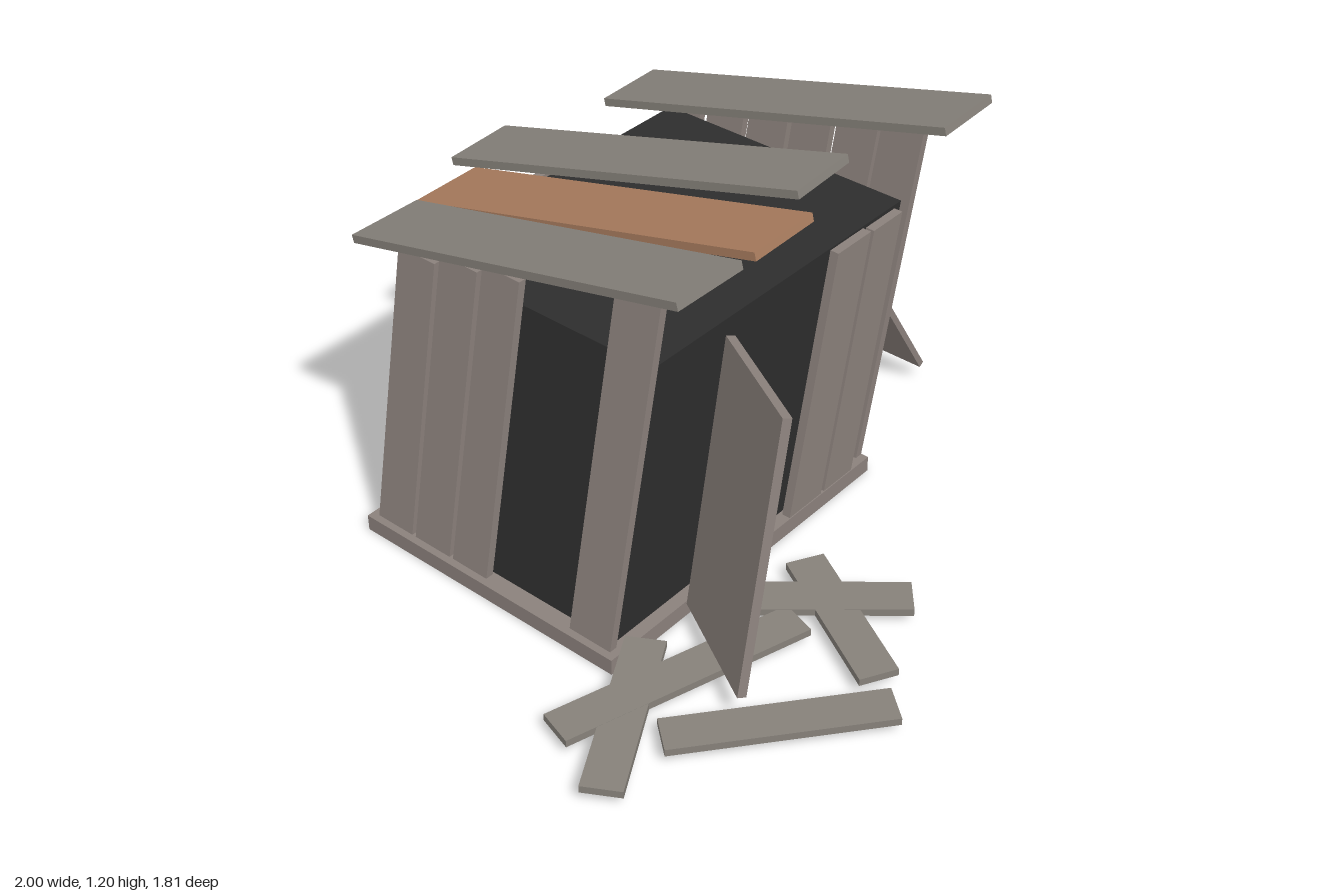
import * as THREE from 'three';

const mat = (name, color) => Object.assign(new THREE.MeshStandardMaterial({ color }), { name });

export function createModel() {
  const root = new THREE.Group();
  root.name = 'ruinedShack';
  const wood = mat('weatheredWood', 0x8b817c);
  const grey = mat('greyPlank', 0x86817a);
  const orange = mat('newPlank', 0xa97c5e);
  const dark = mat('darkInterior', 0x2d2d2d);

  // The whole frame leans to +x and slightly to +z
  const FLOOR = 0.05;
  const lean = new THREE.Matrix4().set(
    1, 0.155, 0, -0.155 * FLOOR,
    0, 1, 0, 0,
    0, 0.045, 1, -0.045 * FLOOR,
    0, 0, 0, 1);

  const add = (name, geo, material) => {
    const m = new THREE.Mesh(geo, material);
    m.name = name;
    root.add(m);
    return m;
  };
  const box = (name, material, size, pos, rot = [0, 0, 0]) => {
    const m = add(name, new THREE.BoxGeometry(...size), material);
    m.position.set(...pos);
    m.rotation.set(...rot);
    return m;
  };
  // Box given by its limits at floor level, then leaned; tilt turns a side board in its wall
  const leaned = (name, material, x0, x1, y0, y1, z0, z1, tilt = 0) => {
    const g = new THREE.BoxGeometry(x1 - x0, y1 - y0, z1 - z0);
    g.rotateX(tilt);
    g.translate((x0 + x1) / 2, (y0 + y1) / 2, (z0 + z1) / 2);
    g.applyMatrix4(lean);
    return add(name, g, material);
  };

  // Floor slab and dark core
  box('floor', wood, [1.13, 0.05, 0.93], [-0.055, 0.025, -0.28]);
  leaned('interior', dark, -0.565, 0.475, FLOOR, 0.885, -0.69, 0.145);

  // Side boards: z range, bottom, top, tilt
  const rightBoards = [
    [0.03, 0.165, FLOOR, 1.09, 0.008], [-0.115, 0.02, FLOOR, 1.06, 0.008],
    [-0.26, -0.13, 0.79, 1.02, 0], [-0.26, -0.13, FLOOR, 0.57, 0.005],
    [-0.41, -0.275, 0.79, 0.98, 0], [-0.41, -0.275, FLOOR, 0.52, -0.005],
    [-0.56, -0.43, FLOOR, 0.945, 0.004], [-0.72, -0.585, FLOOR, 0.905, 0.002],
  ];
  const leftBoards = [
    [0.02, 0.165, FLOOR, 1.09, 0.008], [-0.42, -0.29, FLOOR, 0.97, 0.01],
    [-0.57, -0.435, FLOOR, 0.94, 0.006], [-0.72, -0.585, FLOOR, 0.905, 0.002],
  ];
  for (const [z0, z1, y0, y1, t] of rightBoards)
    leaned('leftSideBoard', wood, 0.483, 0.508, y0, y1, z0, z1, t);
  for (const [z0, z1, y0, y1, t] of leftBoards)
    leaned('rightSideBoard', wood, -0.598, -0.573, y0, y1, z0, z1, t);

  // Front and back boards
  for (const [x0, x1, y1] of [[0.14, 0.285, 0.89], [0.3, 0.43, 0.885]])
    leaned('frontBoard', wood, x0, x1, FLOOR, y1, 0.155, 0.182);
  for (const [x0, x1, y1] of [[-0.14, -0.01, 0.89], [-0.44, -0.31, 0.57], [-0.575, -0.45, 0.77]])
    leaned('backBoard', wood, x0, x1, FLOOR, y1, -0.722, -0.697);

  // Sagging open door, spanned between its hinge and free edge
  const hinge = new THREE.Vector3(-0.315, 0.05, 0.2);
  const across = new THREE.Vector3(-0.535, 0.085, 0.555).sub(hinge);
  const up = new THREE.Vector3(0.16, 0.795, 0);
  const out = across.clone().cross(up).normalize();
  const doorGeo = new THREE.BoxGeometry(1, 1, 0.025).translate(0.5, 0.5, 0);
  doorGeo.applyMatrix4(new THREE.Matrix4().makeBasis(across, up, out).setPosition(hinge));
  doorGeo.computeVertexNormals();
  add('door', doorGeo, wood);

  // Loose panel leaning against the side
  box('leaningPanel', wood, [0.02, 0.66, 0.74], [0.81, 0.337, -0.33], [0, 0, 0.565]);

  // Crossed planks nailed over the broken side
  for (const [y, z, a] of [[0.615, -0.27, -0.3], [0.62, -0.245, 0.43]]) {
    const g = new THREE.BoxGeometry(0.022, 0.06, 0.5);
    g.rotateX(a);
    g.translate(0.52, y, z - 0.025);
    add('crossPlank', g.applyMatrix4(lean), grey);
  }

  // Sloping roof planks: x at back, x at front, middle z
  const roof = [[-0.395, -0.41, -0.23, grey], [-0.165, -0.13, -0.23, orange],
    [0.062, 0.158, -0.33, grey], [0.595, 0.658, -0.23, grey]];
  for (const [xb, xf, z, m] of roof) {
    const p = box('roofPlank', m, [0.235, 0.024, 1.185], [(xb + xf) / 2, 1.043, z]);
    p.rotation.set(-0.243, Math.atan2(xf - xb, 1.15), 0);
  }

  // Fallen planks on the ground: end points in x and z
  const fallen = [[-0.74, 0.46, -0.27, 0.85], [-0.975, 0.47, -0.5, 0.2],
    [-0.895, 0.24, -0.175, 0.46], [-0.215, 0.755, 0.025, 0.325], [0.09, 0.645, -0.23, 0.26]];
  fallen.forEach(([x0, z0, x1, z1], i) => {
    const dx = x1 - x0, dz = z1 - z0;
    box('fallenPlank', grey, [Math.hypot(dx, dz), 0.022, 0.113],
      [(x0 + x1) / 2, 0.042 + i * 0.0006, (z0 + z1) / 2], [0, -Math.atan2(dz, dx), 0]);
  });
  return root;
}
